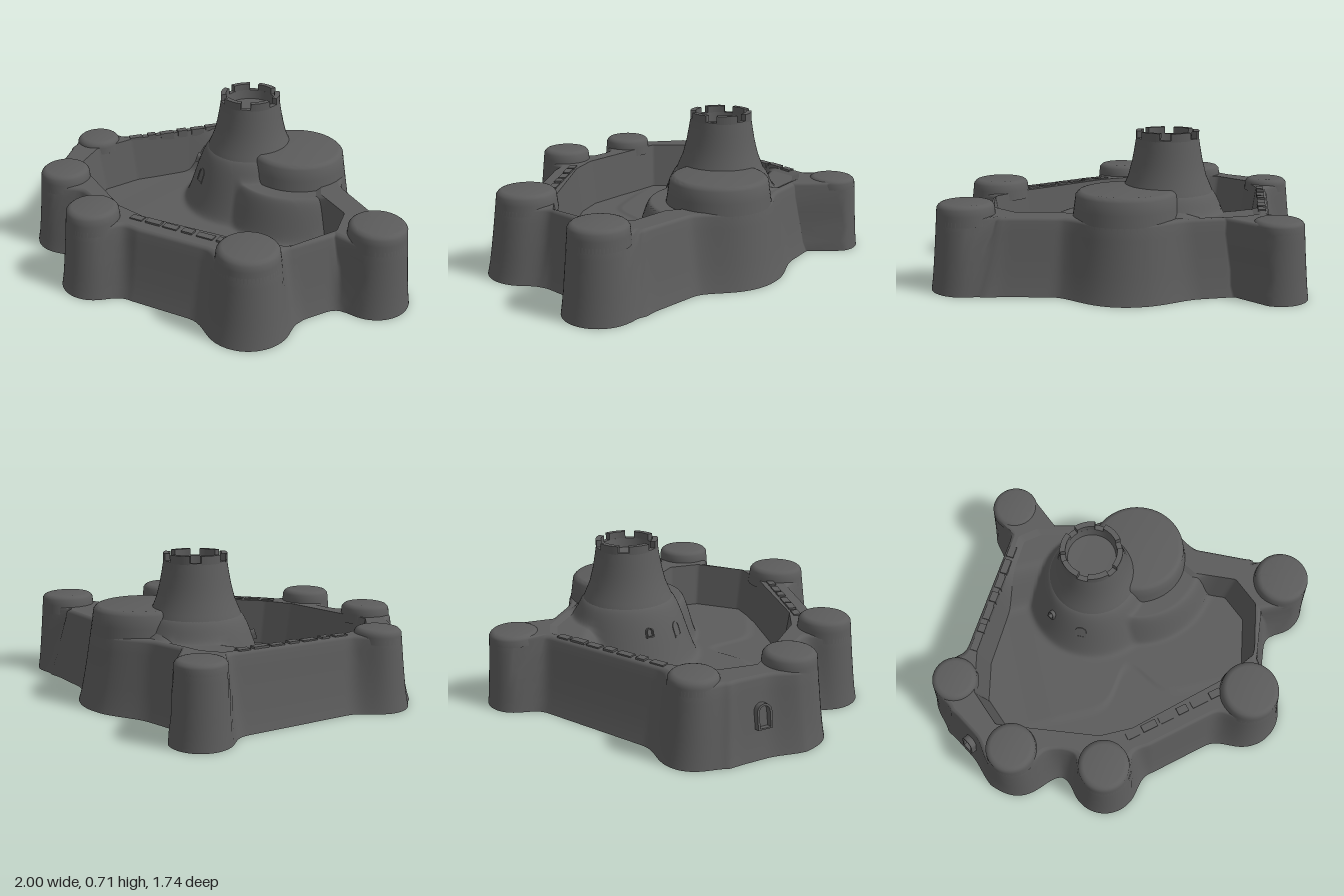
import * as THREE from 'three';
import { toCreasedNormals } from 'three/addons/utils/BufferGeometryUtils.js';

const mat = new THREE.MeshStandardMaterial({ color: 0x5c5c5c, side: THREE.DoubleSide });
const N = 420;
const WALL = 0.348, FLOOR = 0.1;

// corner towers: centre x, z, top radius, foot radius, height
const TOWERS = [
  [-0.385, -0.73, 0.112, 0.14, 0.358],
  [0.835, -0.01, 0.13, 0.168, 0.405],
  [0.52, 0.51, 0.136, 0.195, 0.405],
  [-0.245, 0.70, 0.118, 0.168, 0.408],
  [-0.65, 0.515, 0.115, 0.165, 0.4],
  [-0.85, 0.115, 0.106, 0.152, 0.375],
];
const MOUND = [0.165, -0.31, 0.228, 0.31, 0.462];
const KEEP = [-0.08, -0.235];

// plan of the curtain wall at the ground, and of the courtyard at the wall top
const OUTER = [[-0.45, -0.68], [-0.92, 0.1], [-0.965, 0.27], [-0.79, 0.57], [-0.45, 0.635], [-0.2, 0.735], [0, 0.72],
  [0.5, 0.6], [0.68, 0.35], [0.76, 0.15], [0.8, -0.2], [0.5, -0.34], [0.17, -0.57], [0, -0.605], [-0.19, -0.65]];
const INNER = [[-0.4, -0.56], [-0.72, 0], [-0.77, 0.2], [-0.7, 0.38], [-0.23, 0.55], [-0.07, 0.55],
  [0.41, 0.42], [0.6, 0.33], [0.68, 0.08], [0.62, -0.07], [0.43, -0.15], [0.3, -0.35], [0, -0.5], [-0.3, -0.58]];

const smooth = (t) => { t = Math.min(1, Math.max(0, t)); return t * t * (3 - 2 * t); };
const smin = (a, b, k) => { const h = Math.max(k - Math.abs(a - b), 0) / k; return Math.min(a, b) - h * h * k / 4; };

// signed distance to a polygon, negative inside
function polyDist(poly, x, z) {
  let d = Infinity, inside = false;
  poly.forEach(([ax, az], i) => {
    const [bx, bz] = poly[(i + 1) % poly.length];
    const ex = bx - ax, ez = bz - az;
    const t = Math.min(1, Math.max(0, ((x - ax) * ex + (z - az) * ez) / (ex * ex + ez * ez)));
    d = Math.min(d, Math.hypot(x - ax - ex * t, z - az - ez * t));
    if ((az > z) !== (bz > z) && x < ax + ex * (z - az) / ez) inside = !inside;
  });
  return inside ? -d : d;
}

// battered radius of a tower at height y
const towerRadius = ([, , top, foot, h], y) => foot + (top - foot) * Math.pow(Math.min(1, y / h), 0.8);

// whole outer plan at height y: wall and towers melted together
function planDist(x, z, y) {
  let d = polyDist(OUTER, x, z) + 0.07 * Math.pow(y / WALL, 0.8);
  for (const t of [...TOWERS, MOUND]) d = smin(d, Math.hypot(x - t[0], z - t[1]) - towerRadius(t, y), 0.08);
  return d;
}

// outline of a field, found along rays from the centre
function outline(field) {
  return Array.from({ length: N }, (_, i) => {
    const a = i / N * Math.PI * 2, c = Math.cos(a), s = Math.sin(a);
    let r = 1.2;
    while (r > 0.1 && field(c * r, s * r) > 0) r -= 0.01;
    let lo = r, hi = r + 0.01;
    for (let k = 0; k < 10; k++) {
      const m = (lo + hi) / 2;
      if (field(c * m, s * m) > 0) hi = m; else lo = m;
    }
    return [c * lo, s * lo];
  });
}

// skin closed rings of [x, y, z] points
function loft(name, rings) {
  const idx = [];
  for (let j = 0; j < rings.length - 1; j++) {
    for (let i = 0; i < N; i++) {
      const a = j * N + i, b = j * N + (i + 1) % N;
      idx.push(a, a + N, b, b, a + N, b + N);
    }
  }
  const g = new THREE.BufferGeometry();
  g.setAttribute('position', new THREE.Float32BufferAttribute(rings.flat(2), 3));
  g.setIndex(idx);
  g.computeVertexNormals();
  return named(name, g);
}

function named(name, g) {
  const m = new THREE.Mesh(g, mat);
  m.name = name;
  return m;
}

function lathe(name, pts, x, z) {
  const g = new THREE.LatheGeometry(pts.map((p) => new THREE.Vector2(...p)), 56);
  const m = named(name, toCreasedNormals(g, 0.6));
  m.position.set(x, 0, z);
  return m;
}

// courtyard ground: flat, rising to the keep, the shelf round the mound and the back ramp
function ground(x, z) {
  const dk = Math.hypot(x - KEEP[0], z - KEEP[1]), dm = Math.hypot(x - MOUND[0], z - MOUND[1]);
  const keep = 0.335 * smooth((0.37 - dk) / 0.17);
  const shelf = 0.235 * smooth((0.42 - dm) / 0.1);
  const ramp = 0.235 * smooth((-0.22 - z) / 0.19) * smooth((0.3 - x) / 0.2);
  // low step in the yard, and a dip towards the side wall
  const edge = 0.4 - 0.19 * Math.exp(-Math.pow(x / 0.11, 2));
  const step = 0.02 * smooth((edge - z) / 0.05) - 0.025 * smooth((-0.4 - x) / 0.25);
  return FLOOR - smin(-step, smin(-keep, smin(-shelf, -ramp, 0.04), 0.04), 0.03);
}

// round-headed opening
function arch(name, w, h, pos, yaw, tilt) {
  const s = new THREE.Shape();
  s.moveTo(-w / 2, 0).lineTo(w / 2, 0).lineTo(w / 2, h - w / 2);
  s.absarc(0, h - w / 2, w / 2, 0, Math.PI, false);
  const hole = new THREE.Path();
  const v = w * 0.36;
  hole.moveTo(-v, 0.006).lineTo(v, 0.006).lineTo(v, h - w / 2);
  hole.absarc(0, h - w / 2, v, 0, Math.PI, false);
  s.holes.push(hole);
  const m = named(name, new THREE.ExtrudeGeometry(s, { depth: 0.03, bevelEnabled: false, curveSegments: 8 }));
  m.position.set(...pos);
  m.rotation.set(tilt, yaw, 0, 'YXZ');
  return m;
}

// worn, uneven merlons along a wall
function battlement(name, [ax, az], [bx, bz], sizes) {
  const g = new THREE.Group();
  g.name = name;
  const len = Math.hypot(bx - ax, bz - az);
  sizes.forEach((s, i) => {
    const t = (i + 0.5) / sizes.length;
    const b = named('wallMerlon', new THREE.BoxGeometry(len / sizes.length * s, 0.04, 0.036));
    b.position.set(ax + (bx - ax) * t, 0.334 + 0.003 * (i % 2), az + (bz - az) * t);
    b.rotation.y = -Math.atan2(bz - az, bx - ax);
    g.add(b);
  });
  return g;
}

export function createModel() {
  const group = new THREE.Group();

  // outer face of wall and towers, open underneath, with a rounded top edge
  const levels = [[0, 0], [0.05, 0], [0.12, 0], [0.2, 0], [0.28, 0], [WALL - 0.015, 0], [WALL - 0.004, 0.005], [WALL, 0.014]];
  const skirt = levels.map(([y, inset]) => outline((x, z) => planDist(x, z, y) + inset).map(([x, z]) => [x, y, z]));
  group.add(loft('outerWall', skirt));

  // wall walk, inner wall face and courtyard
  const rim = outline((x, z) => polyDist(INNER, x, z));
  const ring = (s) => rim.map(([x, z]) => [x * s, ground(x * s, z * s), z * s]);
  const rimTop = rim.map(([x, z]) => [x, WALL, z]);
  group.add(loft('wallWalk', [skirt[levels.length - 1], rimTop]));
  group.add(loft('innerWall', [rimTop, ring(0.945)]));
  group.add(loft('courtyard', Array.from({ length: 49 }, (_, i) => ring(0.945 * (1 - i / 48) + 0.0005))));

  // corner towers and the round terrace
  const drum = (name, t) => {
    const [x, z, r, , h] = t;
    const side = [0.31, (0.31 + h) / 2, h - 0.02].map((y) => [towerRadius(t, y), y]);
    return lathe(name, [...side, [r - 0.005, h - 0.01], [r - 0.014, h - 0.003], [r - 0.024, h], [0.0001, h]], x, z);
  };
  TOWERS.forEach((t) => group.add(drum('cornerTower', t)));
  group.add(drum('terrace', MOUND));

  // keep with a sunken roof
  group.add(lathe('keep', [[0.235, 0.37], [0.222, 0.41], [0.205, 0.45], [0.184, 0.5], [0.166, 0.57], [0.155, 0.63], [0.147, 0.68],
    [0.122, 0.68], [0.115, 0.635], [0.0001, 0.63]], ...KEEP));
  for (let i = 0; i < 6; i++) {
    const a = i * Math.PI / 3 + Math.PI / 6, w = 0.35;
    const s = new THREE.Shape();
    s.absarc(0, 0, 0.148, a - w, a + w, false);
    s.absarc(0, 0, 0.122, a + w, a - w, true);
    const m = named('keepMerlon', new THREE.ExtrudeGeometry(s, { depth: 0.04, bevelEnabled: false, curveSegments: 6 }));
    m.rotation.x = -Math.PI / 2;
    m.position.set(KEEP[0], 0.672, KEEP[1]);
    group.add(m);
  }

  // battlements
  group.add(battlement('sideBattlement', [-0.43, -0.52], [-0.74, 0.0], [0.7, 0.9, 0.8, 0.6, 0.85, 0.5, 0.8]));
  group.add(battlement('frontBattlement', [-0.12, 0.59], [0.4, 0.47], [0.7, 0.85, 0.8, 0.6, 0.9, 0.65]));

  // openings
  group.add(arch('keepDoor', 0.055, 0.075, [-0.195, 0.26, -0.005], -0.45, -0.32));
  group.add(arch('keepWindow', 0.035, 0.045, [-0.312, 0.3, -0.115], -1.05, -0.32));
  group.add(arch('wallWindow', 0.07, 0.11, [-0.85, 0.13, 0.4], -1.06, -0.17));
  return group;
}
